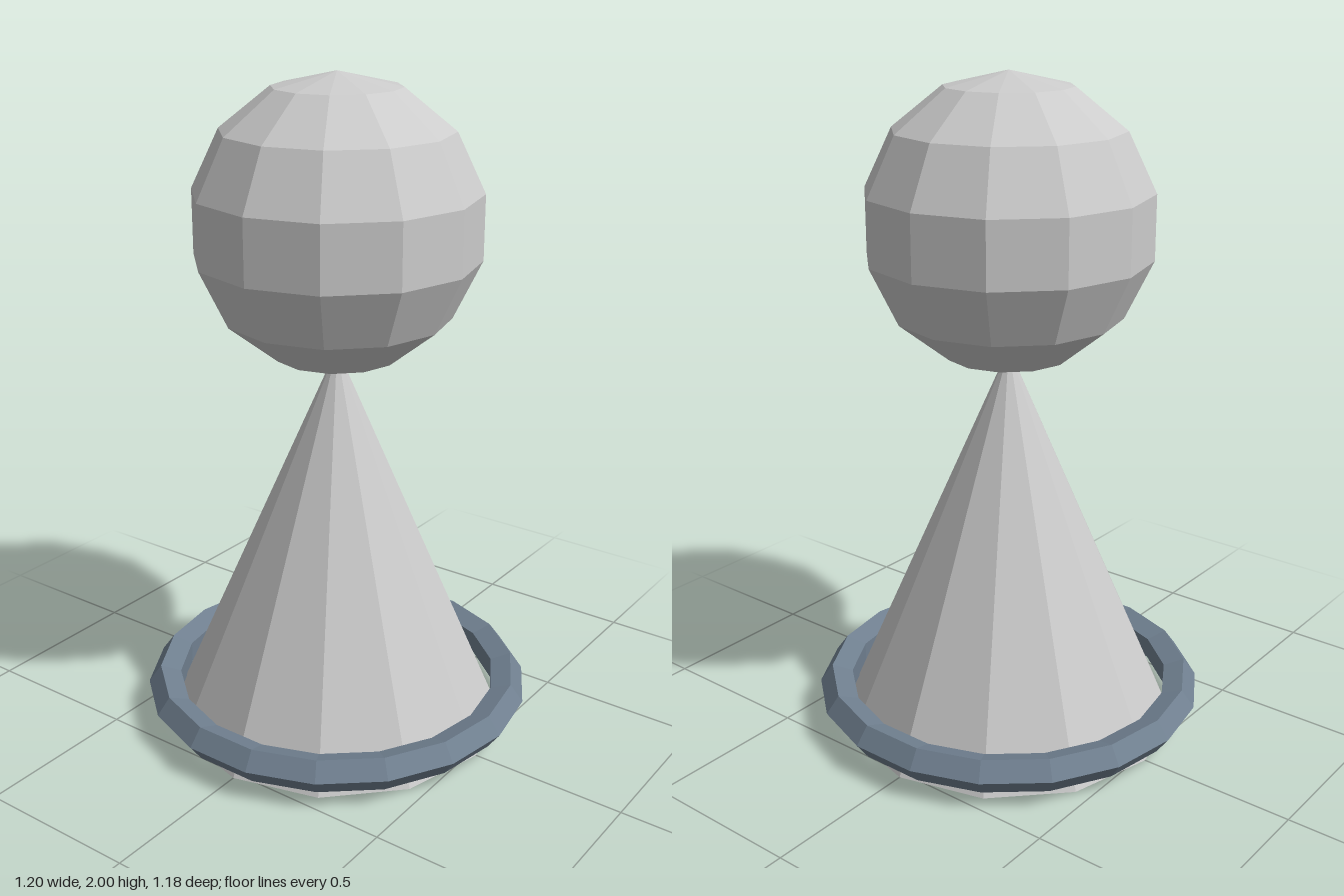
import * as THREE from 'three';

export function createModel() {
  const group = new THREE.Group();
  const grey = new THREE.MeshStandardMaterial({ color: 0xcccccc, flatShading: true });
  const slate = new THREE.MeshStandardMaterial({ color: 0x708090, flatShading: true });

  const add = (name, geometry, material, y) => {
    const mesh = new THREE.Mesh(geometry, material);
    mesh.name = name;
    mesh.position.y = y;
    group.add(mesh);
  };

  // Twelve-sided cone whose tip reaches just inside the ball
  add('coneBody', new THREE.ConeGeometry(0.522, 1.2, 12), grey, 0.6);

  // Faceted ball on top
  add('ballHead', new THREE.SphereGeometry(0.43, 12, 7), grey, 1.57);

  // Loose ring with a five-sided section around the foot
  const ring = new THREE.TorusGeometry(0.543, 0.056, 5, 18).rotateX(-Math.PI / 2);
  add('baseRing', ring, slate, 0.1);

  return group;
}
